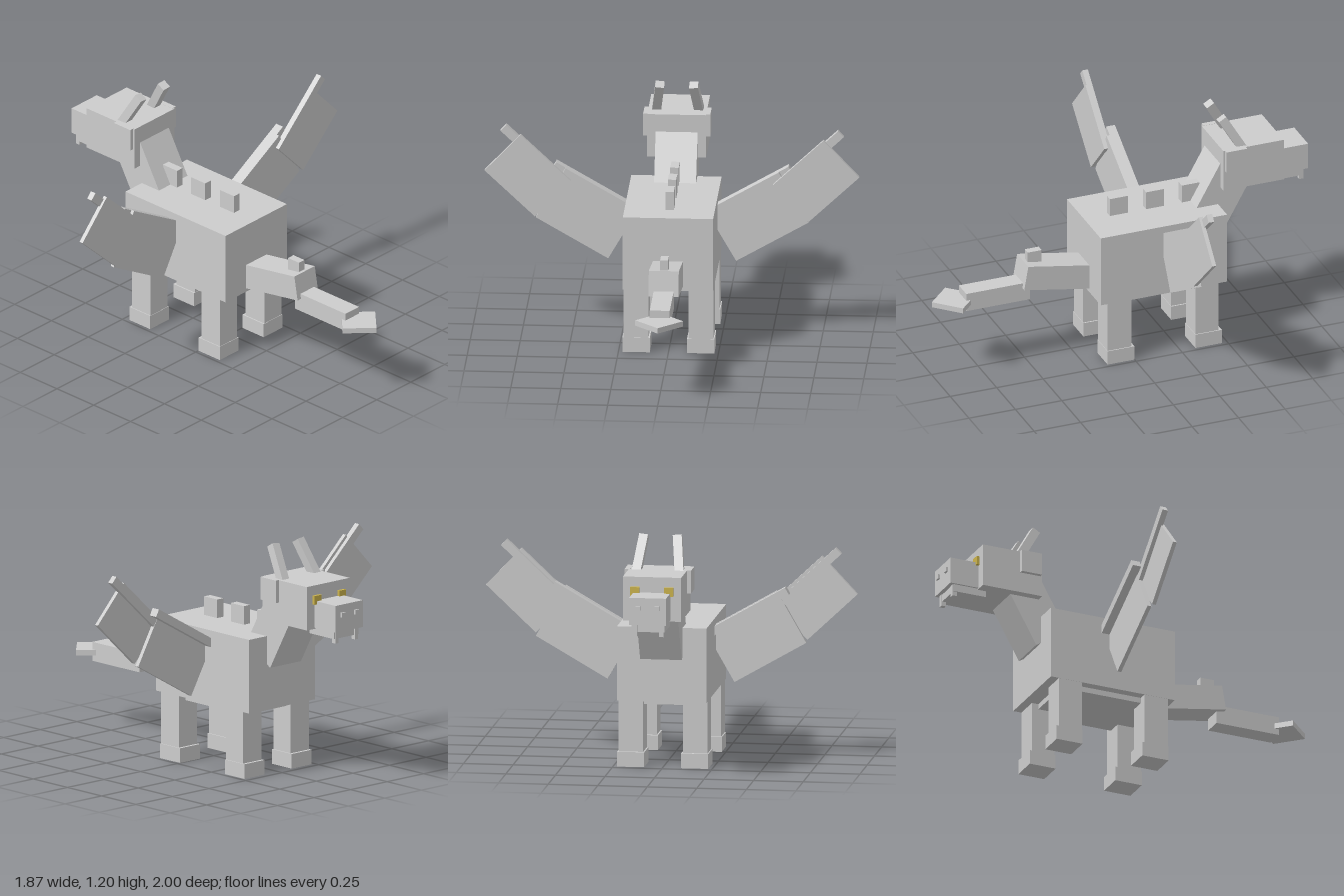
import * as THREE from 'three';

export function createModel() {
  const model = new THREE.Group();
  model.name = 'blockDragon';
  const grey = new THREE.MeshStandardMaterial({ color: 0xcccccc });
  grey.name = 'stone grey';
  const gold = new THREE.MeshStandardMaterial({ color: 0xccb44c });
  gold.name = 'eye gold';

  // Box given by its ranges on each axis
  function box(name, [x0, x1], [y0, y1], [z0, z1], parent = model, mat = grey) {
    const mesh = new THREE.Mesh(new THREE.BoxGeometry(x1 - x0, y1 - y0, z1 - z0), mat);
    mesh.position.set((x0 + x1) / 2, (y0 + y1) / 2, (z0 + z1) / 2);
    mesh.name = name;
    parent.add(mesh);
    return mesh;
  }
  // Centred box, turned
  function turned(name, size, pos, rot, parent = model) {
    const mesh = new THREE.Mesh(new THREE.BoxGeometry(...size), grey);
    mesh.position.set(...pos);
    mesh.rotation.set(...rot);
    mesh.name = name;
    parent.add(mesh);
    return mesh;
  }
  // Mirrored pair of boxes
  function pair(name, [a, b], y, z, parent = model, mat = grey) {
    box(name + 'Left', [a, b], y, z, parent, mat);
    box(name + 'Right', [-b, -a], y, z, parent, mat);
  }

  // Body and belly
  box('body', [-0.226, 0.226], [0.34, 0.718], [-0.5, 0.18]);
  box('belly', [-0.18, 0.18], [0.312, 0.345], [-0.42, 0.1]);

  // Back spines
  for (const z of [0.0, -0.195, -0.387]) box('backSpine', [-0.021, 0.021], [0.7, 0.813], [z - 0.048, z + 0.048]);

  // Legs and feet, toes pointing to -z
  for (const [name, z0, z1] of [['front', -0.455, -0.33], ['hind', 0.015, 0.143]]) {
    pair(name + 'Leg', [0.1, 0.225], [0.07, 0.345], [z0, z1]);
    pair(name + 'Foot', [0.093, 0.23], [0, 0.075], [z0 - 0.015, z1 + 0.002]);
  }

  // Neck
  turned('neck', [0.21, 0.4, 0.2], [0, 0.783, -0.536], [-0.513, 0, 0]);

  // Head
  const head = new THREE.Group();
  head.name = 'head';
  model.add(head);
  box('skull', [-0.147, 0.147], [0.812, 1.035], [-0.837, -0.512], head);
  box('snout', [-0.093, 0.093], [0.818, 0.956], [-0.99, -0.83], head);
  box('jaw', [-0.083, 0.083], [0.78, 0.825], [-0.968, -0.79], head);
  pair('tooth', [0.055, 0.078], [0.757, 0.82], [-0.972, -0.948], head);
  pair('nostril', [0.034, 0.06], [0.893, 0.916], [-1.0, -0.985], head);
  pair('ear', [0.14, 0.168], [0.92, 1.036], [-0.633, -0.521], head);
  pair('eye', [0.062, 0.108], [0.94, 0.985], [-0.853, -0.83], head, gold);
  for (const s of [1, -1]) {
    turned('horn', [0.045, 0.24, 0.045], [s * 0.099, 1.086, -0.586], [0.53, 0, s * 0.12], head);
  }

  // Tail
  turned('tailBase', [0.15, 0.13, 0.42], [0, 0.449, 0.313], [-0.17, 0, 0]);
  box('tailSpine', [-0.02, 0.02], [0.5, 0.598], [0.415, 0.49]);
  box('tailEnd', [-0.05, 0.05], [0.35, 0.447], [0.49, 0.833]);
  turned('tailTip', [0.17, 0.028, 0.17], [0, 0.395, 0.878], [0, Math.PI / 4, 0]);

  // Wing panel: u runs outwards from the lower corner, v runs up across it
  function panel(name, parent, side, [px, py], angle, [u0, u1], [v0, v1], [z0, z1]) {
    const u = (u0 + u1) / 2, v = (v0 + v1) / 2;
    const c = Math.cos(angle), n = Math.sin(angle);
    const pos = [side * (px + u * c - v * n), py + u * n + v * c, (z0 + z1) / 2];
    turned(name, [u1 - u0, v1 - v0, z1 - z0], pos, [0, 0, side * angle], parent);
  }
  for (const s of [1, -1]) {
    const wing = new THREE.Group();
    wing.name = s > 0 ? 'wingLeft' : 'wingRight';
    model.add(wing);
    const inner = [0.32, 0.39], outer = [0.685, 0.61];
    panel('innerMembrane', wing, s, inner, 0.522, [0, 0.418], [0, 0.3], [-0.178, -0.157]);
    panel('innerBone', wing, s, inner, 0.522, [0, 0.472], [0.257, 0.298], [-0.221, -0.175]);
    panel('outerMembrane', wing, s, outer, 0.755, [0, 0.346], [0, 0.261], [-0.155, -0.134]);
    panel('outerBone', wing, s, outer, 0.755, [0, 0.43], [0.204, 0.246], [-0.176, -0.146]);
  }
  return model;
}
